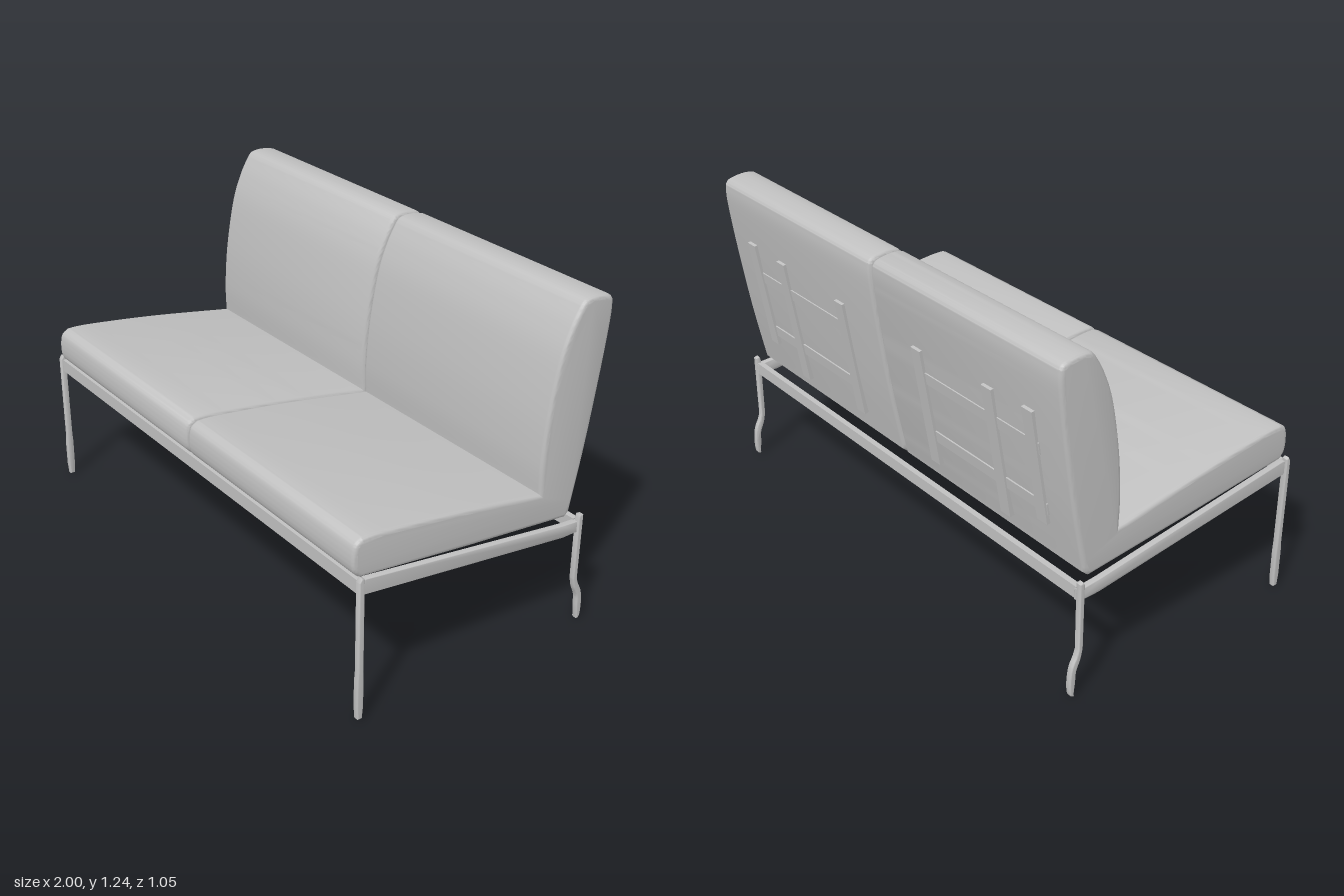
import * as THREE from 'three';
import { toCreasedNormals } from 'three/addons/utils/BufferGeometryUtils.js';

const grey = new THREE.MeshStandardMaterial({ color: 0xc0c0c0 });
grey.name = 'plain grey';

const vectors = (points) => points.map(([z, y]) => new THREE.Vector2(z, y));

// Extrudes a side profile drawn in (z, y) across x0..x1, with optional rounded edges
function extrudeSide(shape, x0, x1, round = 0, inset = round) {
  const geometry = new THREE.ExtrudeGeometry(shape, {
    depth: x1 - x0 - 2 * round, curveSegments: 6,
    bevelEnabled: round > 0, bevelThickness: round, bevelSize: inset,
    bevelOffset: -inset, bevelSegments: 4,
  });
  geometry.rotateY(-Math.PI / 2);
  geometry.translate(x1 - round, 0, 0);
  return toCreasedNormals(geometry, 0.6);
}

function addMesh(parent, name, geometry) {
  const mesh = new THREE.Mesh(geometry, grey);
  mesh.name = name;
  parent.add(mesh);
  return mesh;
}

// L-shaped cushion outline: seat, inner corner, curved backrest, raked rear
function cushionShape() {
  const shape = new THREE.Shape();
  shape.moveTo(-0.385, 0.432);
  shape.lineTo(0.05, 0.476);
  shape.lineTo(0.5, 0.528);
  shape.splineThru(vectors([[0.522, 0.555], [0.527, 0.6], [0.518, 0.648], [0.49, 0.668]]));
  shape.splineThru(vectors([[0.4, 0.664], [0.1, 0.625], [-0.258, 0.565]]));
  shape.splineThru(vectors([[-0.256, 0.68], [-0.27, 0.85], [-0.305, 1.04], [-0.345, 1.15], [-0.385, 1.22]]));
  shape.splineThru(vectors([[-0.405, 1.236], [-0.45, 1.24], [-0.505, 1.23], [-0.523, 1.212]]));
  shape.splineThru(vectors([[-0.522, 1.14], [-0.495, 0.94], [-0.452, 0.68], [-0.405, 0.45]]));
  shape.lineTo(-0.385, 0.432);
  return shape;
}

// Webbing strips standing just proud of the raked rear face
function addWebbing(parent, side) {
  const webbing = new THREE.Group();
  webbing.name = 'backWebbing';
  webbing.position.set(0, 0.68, -0.452);
  webbing.rotation.x = -Math.atan2(0.043, 0.26);
  parent.add(webbing);
  const strip = (name, x, y, width, height, depth) =>
    addMesh(webbing, name, new THREE.BoxGeometry(width, height, depth)).position.set(side * x, y, -0.001);
  [[0.23, -0.16, 0.31], [0.61, -0.18, 0.33], [0.81, -0.1, 0.34]].forEach(([x, low, high]) =>
    strip('verticalStrap', x, (low + high) / 2, 0.05, high - low, 0.02));
  for (const y of [-0.04, 0.2]) strip('crossStrap', 0.54, y, 0.6, 0.045, 0.008);
}

function addRail(parent, name, y, z, height, depth) {
  addMesh(parent, name, new THREE.BoxGeometry(1.95, height, depth)).position.set(0, y, z);
}

export function createModel() {
  const model = new THREE.Group();
  model.name = 'twoSeatSofa';

  const outline = cushionShape();
  const sideRail = new THREE.Shape(vectors([
    [-0.445, 0.37], [-0.36, 0.37], [0.505, 0.478], [0.505, 0.53], [0.49, 0.533], [-0.36, 0.418], [-0.445, 0.412],
  ]));
  const frontLeg = new THREE.Shape(vectors([
    [0.502, 0.005], [0.52, 0.005], [0.524, 0.05], [0.524, 0.15], [0.521, 0.19],
    [0.522, 0.53], [0.512, 0.546], [0.501, 0.54], [0.499, 0.19], [0.497, 0.15], [0.498, 0.05],
  ]));
  // Rear leg is straight above and kicks back into a flattened foot
  const rearLeg = new THREE.Shape();
  rearLeg.moveTo(-0.46, 0);
  rearLeg.splineThru(vectors([[-0.454, 0.05], [-0.45, 0.1], [-0.434, 0.14], [-0.425, 0.18]]));
  rearLeg.lineTo(-0.425, 0.43);
  rearLeg.lineTo(-0.431, 0.442);
  rearLeg.lineTo(-0.446, 0.438);
  rearLeg.lineTo(-0.444, 0.18);
  rearLeg.splineThru(vectors([[-0.452, 0.155], [-0.47, 0.115], [-0.477, 0.06], [-0.473, 0.01], [-0.46, 0]]));

  for (const side of [1, -1]) {
    const span = (a, b) => (side > 0 ? [a, b] : [-b, -a]);
    const name = side > 0 ? 'left' : 'right';
    addMesh(model, name + 'Cushion', extrudeSide(outline, ...span(0.004, 0.972), 0.016));
    addWebbing(model, side);
    addMesh(model, name + 'SideRail', extrudeSide(sideRail, ...span(0.968, 0.992), 0.003));
    addMesh(model, name + 'FrontLeg', extrudeSide(frontLeg, ...span(0.977, 1), 0.005));
    addMesh(model, name + 'RearLeg', extrudeSide(rearLeg, ...span(0.977, 1), 0.005));
  }

  // Cross rails joining the two side frames
  addRail(model, 'frontRail', 0.505, 0.505, 0.05, 0.022);
  addRail(model, 'rearRail', 0.395, -0.432, 0.046, 0.022);
  return model;
}
